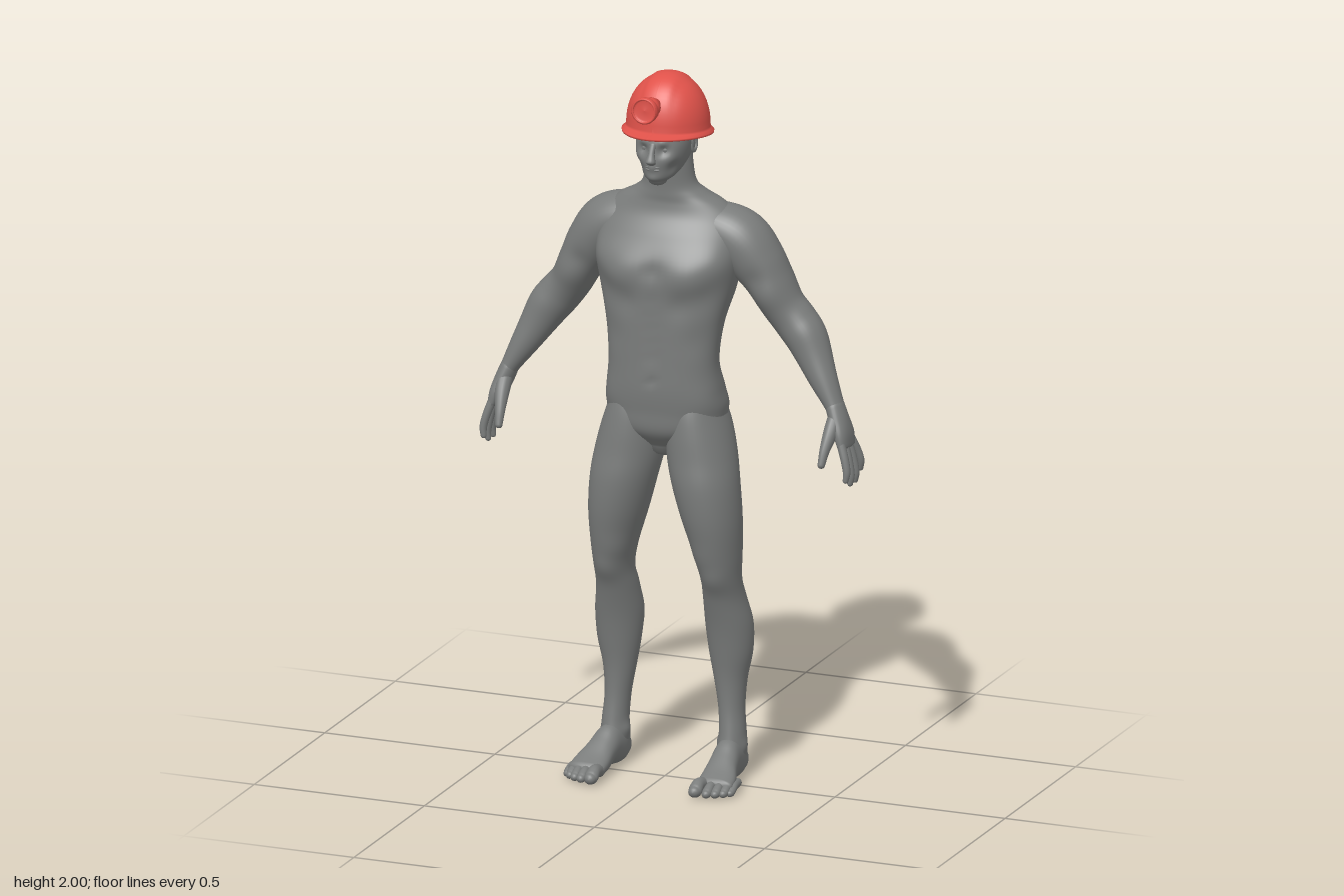
import * as THREE from 'three';

const skin = new THREE.MeshStandardMaterial({ color: 0x7a7c7b });
const red = new THREE.MeshStandardMaterial({ color: 0xe0524a, side: THREE.DoubleSide });
const Y = new THREE.Vector3(0, 1, 0), Z = new THREE.Vector3(0, 0, 1);

// Smooth closed skin through rings [x, y, z, halfWidth, halfDepth, squareness].
// axis fixes the ring direction; bumps [x, y, z, radius, height] swell or dent the skin.
function loft(rings, { axis = null, ref = Z, segs = 40, sub = 5, cap = 0.6, bumps = [] } = {}) {
  const path = new THREE.CatmullRomCurve3(rings.map(r => new THREE.Vector3(r[0], r[1], r[2])), false, 'catmullrom', 0.5);
  const size = new THREE.CatmullRomCurve3(rings.map(r => new THREE.Vector3(r[3], r[4], r[5] || 2)), false, 'catmullrom', 0.5);
  const steps = (rings.length - 1) * sub, stations = [];
  const end = [1, 0.93, 0.75, 0.4];
  end.forEach(k => stations.push([0, -k]));
  for (let i = 0; i <= steps; i++) stations.push([i / steps, 0]);
  [...end].reverse().forEach(k => stations.push([1, k]));

  const pos = [], index = [], p = new THREE.Vector3(), dir = new THREE.Vector3(), b = new THREE.Vector3();
  for (const [t, k] of stations) {
    const c = path.getPoint(t), s = size.getPoint(t);
    const T = axis || path.getTangent(t);
    const V = ref.clone().addScaledVector(T, -ref.dot(T)).normalize();
    const U = new THREE.Vector3().crossVectors(V, T);
    const shrink = Math.sqrt(Math.max(0, 1 - k * k));
    c.addScaledVector(T, k * cap * Math.min(s.x, s.y));
    for (let j = 0; j < segs; j++) {
      const a = j / segs * Math.PI * 2, co = Math.cos(a), si = Math.sin(a), e = 2 / s.z;
      dir.set(0, 0, 0)
        .addScaledVector(U, Math.sign(co) * Math.abs(co) ** e * s.x * shrink)
        .addScaledVector(V, Math.sign(si) * Math.abs(si) ** e * s.y * shrink);
      p.copy(c).add(dir);
      dir.normalize();
      let push = 0;
      for (const [bx, by, bz, r, h] of bumps) push += h * Math.exp(-p.distanceToSquared(b.set(bx, by, bz)) / (r * r));
      p.addScaledVector(dir, push);
      pos.push(p.x, p.y, p.z);
    }
  }
  for (let i = 0; i < stations.length - 1; i++) {
    for (let j = 0; j < segs; j++) {
      const a = i * segs + j, n = i * segs + (j + 1) % segs;
      index.push(a, n, n + segs, a, n + segs, a + segs);
    }
  }
  const g = new THREE.BufferGeometry();
  g.setAttribute('position', new THREE.Float32BufferAttribute(pos, 3));
  g.setIndex(index);
  g.computeVertexNormals();
  return g;
}

function add(parent, name, geometry, material = skin) {
  const mesh = new THREE.Mesh(geometry, material);
  mesh.name = name;
  parent.add(mesh);
  return mesh;
}

const both = list => list.flatMap(([x, ...r]) => x ? [[x, ...r], [-x, ...r]] : [[x, ...r]]);

function makeTorso(parent) {
  const spine = [-0.1, -0.086, -0.09, -0.1, -0.12, -0.143, -0.155, -0.16, -0.158].map((z, i) => [0, 1.15 + i * 0.05, z, 0.036, -0.006]);
  const midline = [1.22, 1.26, 1.3, 1.34, 1.38].map(y => [0, y, 0.1, 0.022, -0.003]);
  add(parent, 'torso', loft([
    [0, 0.95, -0.015, 0.06, 0.06], [0, 1.0, -0.02, 0.15, 0.104, 2.2], [0, 1.06, -0.022, 0.17, 0.114, 2.3],
    [0, 1.12, -0.01, 0.164, 0.108, 2.3], [0, 1.2, 0.006, 0.156, 0.092, 2.3], [0, 1.3, -0.002, 0.166, 0.1, 2.3],
    [0, 1.4, -0.022, 0.19, 0.12, 2.3], [0, 1.48, -0.034, 0.204, 0.126, 2.2], [0, 1.55, -0.05, 0.208, 0.11, 2.1],
    [0, 1.6, -0.06, 0.19, 0.09], [0, 1.635, -0.057, 0.15, 0.077], [0, 1.66, -0.048, 0.106, 0.068],
    [0, 1.69, -0.037, 0.076, 0.058], [0, 1.75, -0.03, 0.067, 0.056], [0, 1.8, -0.03, 0.065, 0.056],
  ], {
    axis: Y, segs: 72, sub: 7, bumps: both([
      [0.09, 1.45, 0.08, 0.06, 0.015], [0.15, 1.49, 0.04, 0.05, 0.012], [0, 1.46, 0.1, 0.025, -0.008], // chest
      [0.08, 1.375, 0.09, 0.04, -0.008], [0.14, 1.39, 0.06, 0.04, -0.006],
      [0.09, 1.5, -0.16, 0.07, 0.014], [0.15, 1.4, -0.11, 0.06, 0.006], ...spine, ...midline, // back and midline
      [0.08, 1.03, -0.125, 0.06, 0.012], [0, 1.0, -0.13, 0.032, -0.014], [0, 1.05, -0.14, 0.032, -0.01], // seat
      [0, 1.15, 0.1, 0.012, -0.005], [0.14, 1.1, 0.06, 0.045, 0.004], [0.12, 1.27, 0.075, 0.04, -0.003], // belly
    ]),
  }));
}

function makeHead(parent) {
  const head = new THREE.Group();
  head.name = 'head';
  parent.add(head);
  add(head, 'skull', loft([
    [0, 1.715, 0.05, 0.026, 0.026], [0, 1.728, 0.034, 0.044, 0.05], [0, 1.75, 0.014, 0.058, 0.074, 2.2],
    [0, 1.78, 0, 0.07, 0.093, 2.2], [0, 1.815, -0.008, 0.076, 0.1, 2.2], [0, 1.85, -0.016, 0.076, 0.096, 2.1],
    [0, 1.88, -0.02, 0.072, 0.09], [0, 1.92, -0.022, 0.06, 0.075],
  ], {
    axis: Y, segs: 64, sub: 8, bumps: both([
      [0.03, 1.807, 0.088, 0.018, -0.013], [0.03, 1.829, 0.085, 0.013, 0.006], [0.048, 1.785, 0.07, 0.018, 0.004],
      [0.045, 1.757, 0.06, 0.02, -0.006], [0, 1.726, 0.085, 0.018, 0.008], [0, 1.757, 0.09, 0.014, 0.006],
    ]),
  }));
  add(head, 'nose', loft([
    [0, 1.825, 0.085, 0.009, 0.008], [0, 1.8, 0.096, 0.009, 0.01], [0, 1.78, 0.103, 0.014, 0.013], [0, 1.773, 0.097, 0.013, 0.01],
  ], { segs: 16, axis: Y.clone().negate() }));
  for (const y of [1.753, 1.76]) {
    const lip = add(head, 'lip', new THREE.SphereGeometry(1, 16, 10));
    lip.scale.set(0.022, 0.004, 0.006);
    lip.position.set(0, y, 0.088);
  }
  for (const s of [-1, 1]) {
    const eye = add(head, 'eye', new THREE.SphereGeometry(0.011, 16, 12));
    eye.position.set(s * 0.03, 1.808, 0.066);
    const ear = add(head, 'ear', new THREE.TorusGeometry(0.014, 0.005, 10, 20));
    ear.scale.set(0.8, 1.5, 1);
    ear.rotation.y = s * 1.3;
    ear.position.set(s * 0.077, 1.808, -0.02);
    const innerEar = add(head, 'innerEar', new THREE.SphereGeometry(1, 12, 10));
    innerEar.scale.set(0.005, 0.02, 0.012);
    innerEar.position.set(s * 0.075, 1.806, -0.018);
  }
}

function makeArm(parent) {
  add(parent, 'arm', loft([
    [0.06, 1.575, -0.06, 0.05, 0.06], [0.13, 1.564, -0.066, 0.07, 0.078], [0.192, 1.533, -0.073, 0.081, 0.086],
    [0.24, 1.475, -0.08, 0.075, 0.083],
    [0.275, 1.42, -0.086, 0.064, 0.075], [0.31, 1.355, -0.093, 0.058, 0.066], [0.345, 1.31, -0.097, 0.059, 0.062],
    [0.382, 1.262, -0.092, 0.056, 0.058], [0.435, 1.17, -0.068, 0.04, 0.042], [0.475, 1.1, -0.055, 0.026, 0.033],
    [0.487, 1.075, -0.052, 0.024, 0.034],
  ], {
    sub: 6, bumps: [
      [0.29, 1.385, -0.02, 0.045, 0.008], [0.28, 1.42, -0.16, 0.045, 0.006], [0.33, 1.32, -0.17, 0.03, 0.006],
      [0.26, 1.44, -0.0, 0.03, -0.005], [0.39, 1.29, -0.06, 0.05, 0.006],
    ],
  }));

  const hand = new THREE.Group();
  hand.name = 'hand';
  parent.add(hand);
  add(hand, 'palm', loft([
    [0.476, 1.1, -0.055, 0.025, 0.033], [0.492, 1.06, -0.05, 0.025, 0.04], [0.506, 1.025, -0.047, 0.021, 0.046, 2.4],
    [0.515, 0.992, -0.045, 0.015, 0.046, 2.6],
  ], { segs: 32 }));
  const tips = [[0.002, 0.905], [-0.03, 0.888], [-0.066, 0.888], [-0.104, 0.912]];
  tips.forEach(([z, y], i) => {
    const z0 = -0.012 - i * 0.023;
    add(hand, 'finger', loft([
      [0.512, 1.005, z0, 0.012, 0.012], [0.526, (1.0 + y) / 2 + 0.012, (z0 + z) / 2, 0.0115, 0.0115],
      [0.534, y + 0.025, z * 0.8 + z0 * 0.2, 0.0105, 0.0105], [0.532, y, z, 0.008, 0.008],
    ], { segs: 14, cap: 0.9 }));
  });
  add(hand, 'thumb', loft([
    [0.486, 1.075, -0.045, 0.021, 0.024], [0.483, 1.035, -0.012, 0.02, 0.022], [0.477, 0.99, 0.018, 0.014, 0.015],
    [0.474, 0.952, 0.035, 0.01, 0.011],
  ], { segs: 16, cap: 0.9 }));
}

function makeLeg(parent) {
  add(parent, 'leg', loft([
    [0.088, 1.12, -0.012, 0.055, 0.075], [0.09, 1.06, -0.019, 0.073, 0.1], [0.095, 1.0, -0.019, 0.088, 0.109],
    [0.105, 0.93, -0.012, 0.095, 0.107],
    [0.12, 0.85, -0.002, 0.092, 0.103], [0.137, 0.75, -0.004, 0.081, 0.096], [0.152, 0.65, -0.013, 0.063, 0.081],
    [0.157, 0.58, -0.022, 0.054, 0.068], [0.157, 0.52, -0.045, 0.057, 0.069], [0.162, 0.44, -0.067, 0.065, 0.068],
    [0.164, 0.36, -0.074, 0.061, 0.059], [0.163, 0.28, -0.075, 0.046, 0.048], [0.167, 0.2, -0.072, 0.036, 0.043],
    [0.172, 0.13, -0.067, 0.036, 0.046], [0.172, 0.09, -0.066, 0.037, 0.052], [0.172, 0.04, -0.07, 0.034, 0.06],
  ], {
    axis: Y.clone().negate(), bumps: [
      [0.155, 0.585, 0.045, 0.035, 0.007], [0.125, 0.65, 0.05, 0.04, 0.006], [0.157, 0.57, -0.09, 0.03, -0.006],
      [0.13, 0.44, -0.12, 0.05, 0.006], [0.135, 0.1, -0.06, 0.02, 0.006], [0.21, 0.09, -0.065, 0.02, 0.005],
      [0.085, 1.02, -0.125, 0.055, 0.008],
    ],
  }));

  const foot = new THREE.Group();
  foot.name = 'foot';
  parent.add(foot);
  add(foot, 'instep', loft([
    [0.172, 0.04, -0.113, 0.027, 0.034], [0.172, 0.054, -0.07, 0.037, 0.054, 2.2], [0.175, 0.06, -0.02, 0.039, 0.058, 2.1],
    [0.18, 0.047, 0.025, 0.043, 0.045, 2.2], [0.187, 0.033, 0.07, 0.051, 0.031, 2.3], [0.189, 0.025, 0.105, 0.052, 0.022, 2.4],
  ], { axis: Z, ref: Y, bumps: [[0.13, 0.0, 0.0, 0.035, -0.01]] }));
  const toes = [[0.153, 0.16, 0.0195], [0.184, 0.152, 0.014], [0.206, 0.143, 0.0135], [0.225, 0.13, 0.013], [0.239, 0.115, 0.012]];
  for (const [x, z, r] of toes) {
    add(foot, 'toe', loft([
      [x * 0.9 + 0.019, 0.024, z - 0.065, r, r], [x, r + 0.012, z - 0.03, r * 0.92, r * 0.95], [x, r + 0.003, z - 0.008, r, r],
      [x, r, z + 0.002, r * 0.85, r * 0.8],
    ], { axis: Z, ref: Y, segs: 16, cap: 0.9 }));
  }
}

function makeHelmet(parent) {
  const helmet = new THREE.Group();
  helmet.name = 'helmet';
  parent.add(helmet);
  // Shell profile: inside from the crown down, round the rim, back up the outside
  const arc = (i, r, y, h) => new THREE.Vector2(r * Math.sin(i / 14 * Math.PI / 2) ** 0.94, y + h * Math.max(0, Math.cos(i / 14 * Math.PI / 2)) ** 0.94);
  const profile = [];
  for (let i = 0; i <= 14; i++) profile.push(arc(i, 0.109, 1.85, 0.14));
  profile.push(new THREE.Vector2(0.112, 1.835), new THREE.Vector2(0.124, 1.834), new THREE.Vector2(0.125, 1.84), new THREE.Vector2(0.117, 1.846));
  for (let i = 14; i >= 0; i--) profile.push(arc(i, 0.115, 1.852, 0.144));
  const shell = new THREE.LatheGeometry(profile, 96);
  const p = shell.attributes.position;
  for (let i = 0; i < p.count; i++) {
    let x = p.getX(i), y = p.getY(i), z = p.getZ(i);
    const r = Math.hypot(x, z), front = r > 0 ? z / r : 0;
    // Peak grows forward, the rim fades at the back
    if (r > 0.12) {
      if (front > 0) z += 0.034 * front * front;
      else z *= 1 - 0.07 * front * front;
    }
    // Raised band over the crown
    const outer = i % profile.length > 17;
    if (outer) y += 0.004 * (1 - THREE.MathUtils.smoothstep(Math.abs(x), 0.035, 0.05)) * THREE.MathUtils.smoothstep(y, 1.87, 1.93);
    y += z * 0.08 * (2 - y) / 0.15;
    p.setXYZ(i, x, y, z - 0.025);
  }
  shell.computeVertexNormals();
  add(helmet, 'shell', shell, red);

  // Head lamp with a flared front on a short neck
  const lamp = new THREE.Group();
  lamp.name = 'headLamp';
  lamp.position.set(0, 1.932, 0.06);
  lamp.rotation.x = -0.06;
  helmet.add(lamp);
  const body = [[0, 0], [0.018, 0], [0.018, 0.03], [0.027, 0.034], [0.029, 0.05], [0.026, 0.053], [0.027, 0.06], [0.036, 0.074], [0.037, 0.09], [0.03, 0.09], [0.027, 0.082], [0, 0.086]];
  add(lamp, 'lampBody', new THREE.LatheGeometry(body.map(q => new THREE.Vector2(...q)), 28).rotateX(Math.PI / 2), red);
  const rim = add(lamp, 'lampRim', new THREE.TorusGeometry(0.033, 0.003, 8, 28), red);
  rim.position.z = 0.09;
  const bracket = add(lamp, 'lampBracket', new THREE.BoxGeometry(0.03, 0.03, 0.03), red);
  bracket.position.set(0, -0.012, 0.015);
}

export function createModel() {
  const model = new THREE.Group();
  model.name = 'helmetedMan';
  makeTorso(model);
  makeHead(model);
  makeHelmet(model);
  for (const s of [1, -1]) {
    const limbs = new THREE.Group();
    limbs.name = s > 0 ? 'leftLimbs' : 'rightLimbs';
    limbs.scale.x = s;
    makeArm(limbs);
    makeLeg(limbs);
    model.add(limbs);
  }
  return model;
}
